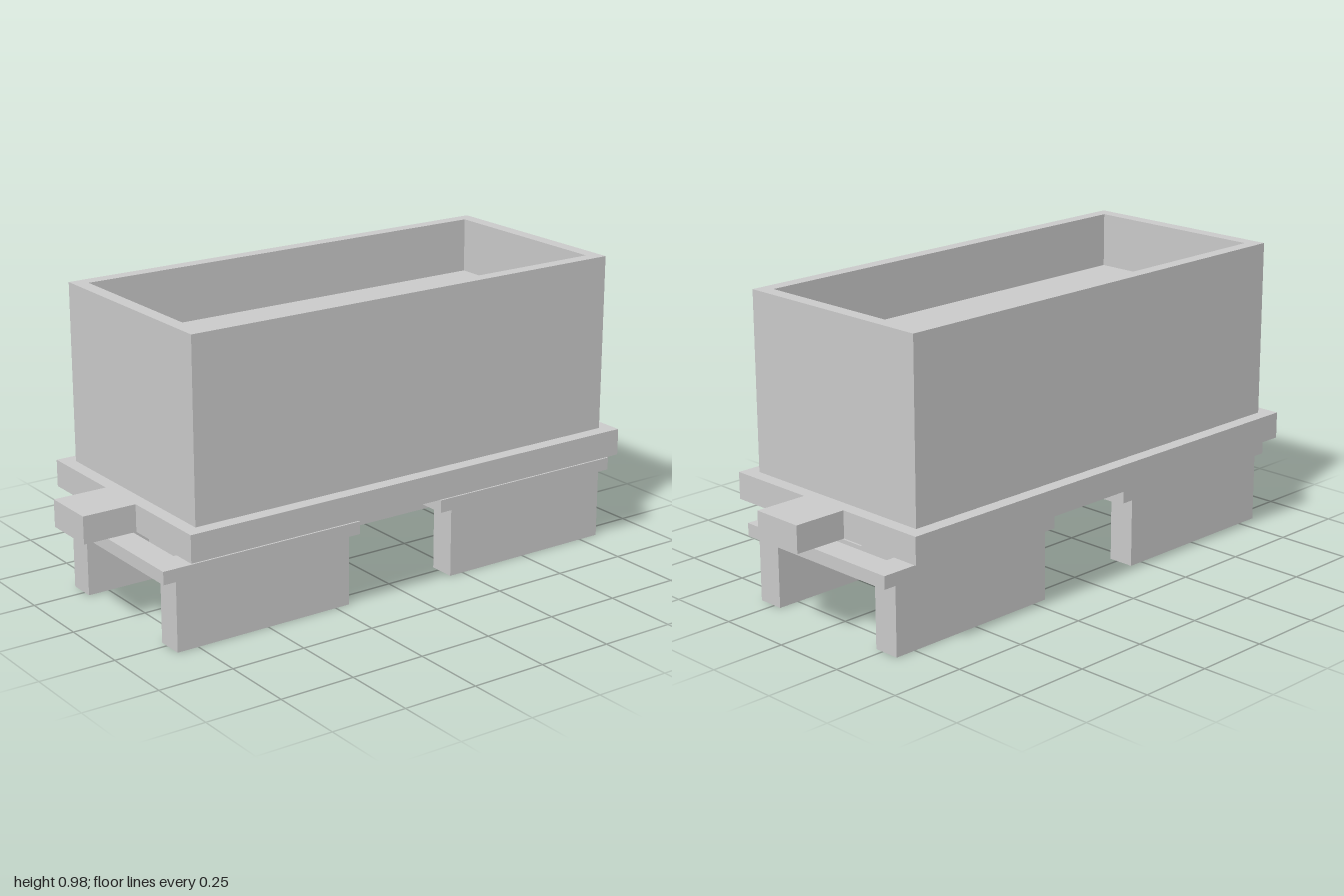
import * as THREE from 'three';

const material = new THREE.MeshStandardMaterial({ color: 0xcccccc, flatShading: true });

// Box given by its extents along each axis
function box(name, [x0, x1], [y0, y1], [z0, z1]) {
  const mesh = new THREE.Mesh(new THREE.BoxGeometry(x1 - x0, y1 - y0, z1 - z0), material);
  mesh.name = name;
  mesh.position.set((x0 + x1) / 2, (y0 + y1) / 2, (z0 + z1) / 2);
  return mesh;
}

function rectangle(target, hx, hz) {
  target.moveTo(-hx, -hz);
  target.lineTo(hx, -hz);
  target.lineTo(hx, hz);
  target.lineTo(-hx, hz);
  target.closePath();
  return target;
}

// Upright rectangular ring, from half sizes outside and inside
function ring(name, hx, hz, innerX, innerZ, y0, y1) {
  const shape = rectangle(new THREE.Shape(), hx, hz);
  shape.holes.push(rectangle(new THREE.Path(), innerX, innerZ));
  const geometry = new THREE.ExtrudeGeometry(shape, { depth: y1 - y0, bevelEnabled: false });
  geometry.rotateX(-Math.PI / 2);
  const mesh = new THREE.Mesh(geometry, material);
  mesh.name = name;
  mesh.position.y = y0;
  return mesh;
}

// Wheel truck: top frame, side plates, cross beam and pivot block
function createTruck(name, z) {
  const truck = new THREE.Group();
  truck.name = name;
  truck.add(
    ring('truckFrame', 0.311, 0.353, 0.222, 0.264, 0.225, 0.267),
    box('leftSidePlate', [0.222, 0.311], [0, 0.267], [-0.311, 0.311]),
    box('rightSidePlate', [-0.311, -0.222], [0, 0.267], [-0.311, 0.311]),
    box('crossBeam', [-0.222, 0.222], [0.09, 0.178], [-0.089, 0.089]),
    box('pivotBlock', [-0.089, 0.089], [0.178, 0.312], [-0.089, 0.089])
  );
  truck.position.z = z;
  return truck;
}

export function createModel() {
  const model = new THREE.Group();
  model.name = 'railWagon';

  // Flat deck with a coupler block at each end
  model.add(
    box('deck', [-0.4, 0.4], [0.312, 0.4], [-0.822, 0.822]),
    box('frontCoupler', [-0.089, 0.089], [0.312, 0.4], [0.822, 1]),
    box('backCoupler', [-0.089, 0.089], [0.312, 0.4], [-1, -0.822])
  );

  // Open-topped body and its raised floor
  model.add(
    ring('bodyWalls', 0.355, 0.778, 0.311, 0.733, 0.4, 0.98),
    box('bodyFloor', [-0.311, 0.311], [0.4, 0.8], [-0.733, 0.733])
  );

  model.add(createTruck('frontTruck', 0.511), createTruck('backTruck', -0.511));
  return model;
}
